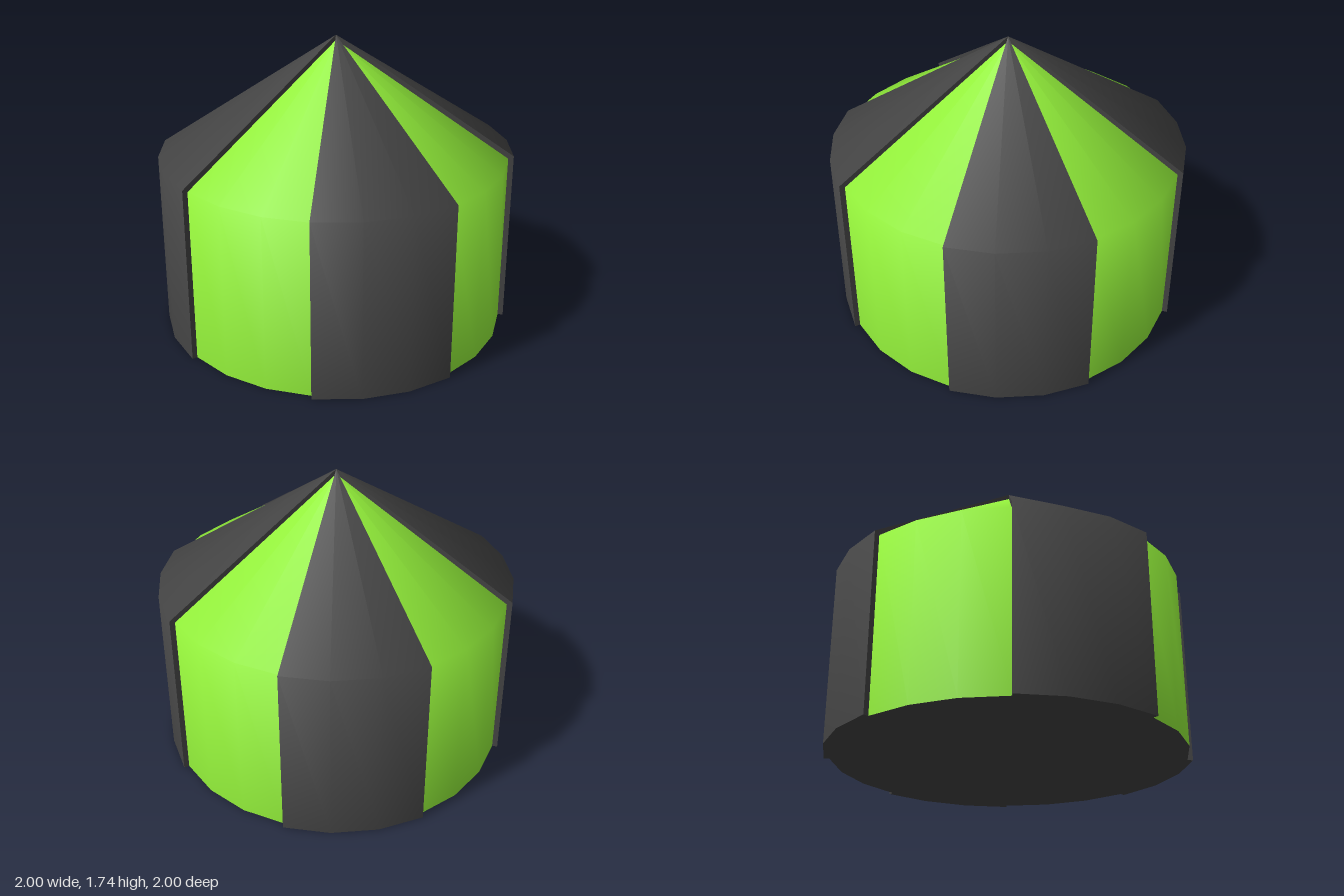
import * as THREE from 'three';

const STEP = Math.PI / 4; // eight panels, three facets each
const HALF = STEP / 2;

// Wall and roof profiles, from the ground up to the peak
const inner = [[1.0086, 0], [1.0086, 1.036], [0, 1.71]].map(p => new THREE.Vector2(...p));
const outer = [[1.04, 0], [1.04, 1.052], [0, 1.74]].map(p => new THREE.Vector2(...p));

export function createModel() {
  const model = new THREE.Group();
  const green = new THREE.MeshStandardMaterial({ color: 0x93f03a });
  const dark = new THREE.MeshStandardMaterial({ color: 0x444444 });
  const darkThin = new THREE.MeshStandardMaterial({ color: 0x444444, side: THREE.DoubleSide });

  const add = (name, geometry, material) => {
    const mesh = new THREE.Mesh(geometry, material);
    mesh.name = name;
    model.add(mesh);
    return mesh;
  };

  // Section of a raised panel's edge, between the two profiles
  const edge = new THREE.ShapeGeometry(new THREE.Shape([...outer, ...inner.slice().reverse()]));

  for (let i = 0; i < 8; i++) {
    const raised = i % 2 === 1;
    const profile = raised ? outer : inner;
    const start = i * STEP - HALF;

    // Wall and roof panel
    add(raised ? 'raisedPanel' : 'recessedPanel',
      new THREE.LatheGeometry(profile, 3, start, STEP), raised ? dark : green);

    // Underside wedge
    add('floor', new THREE.CircleGeometry(profile[0].x, 3, start, STEP).rotateX(Math.PI / 2), dark);

    // Step between neighbouring panels
    add('panelEdge', edge, darkThin).rotation.y = start;
  }
  return model;
}
